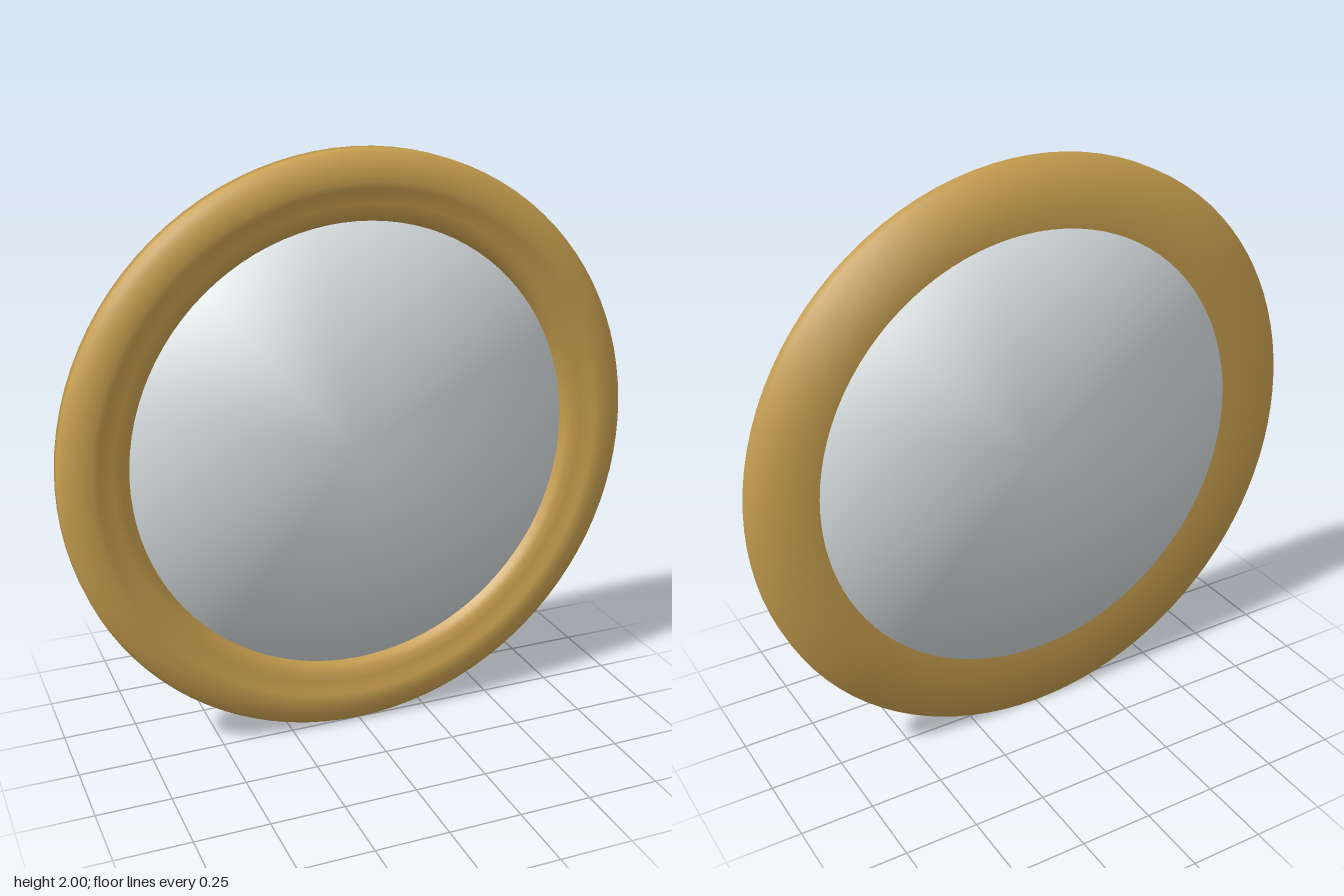
import * as THREE from 'three';

const SEGMENTS = 96;

// Turns a (radius, depth) profile about the z axis, with evenly averaged soft normals.
function turned(name, profile, material) {
  const pts = profile.map(([r, d]) => new THREE.Vector2(r, d));
  const geo = new THREE.LatheGeometry(pts, SEGMENTS);

  const edges = pts.slice(1).map((p, i) => {
    const d = p.clone().sub(pts[i]);
    return new THREE.Vector2(d.y, -d.x).normalize();
  });
  const soft = pts.map((p, i) => {
    const n = new THREE.Vector2();
    if (i > 0) n.add(edges[i - 1]);
    if (i < edges.length) n.add(edges[i]);
    return n.normalize();
  });

  const normal = geo.attributes.normal;
  for (let i = 0; i <= SEGMENTS; i++) {
    const a = (i / SEGMENTS) * Math.PI * 2;
    soft.forEach((n, j) =>
      normal.setXYZ(i * pts.length + j, n.x * Math.sin(a), n.y, n.x * Math.cos(a)));
  }

  geo.rotateX(Math.PI / 2);
  const mesh = new THREE.Mesh(geo, material);
  mesh.name = name;
  return mesh;
}

export function createModel() {
  const gold = new THREE.MeshStandardMaterial({ color: 0xc9a050 });
  gold.name = 'gold';
  const silver = new THREE.MeshStandardMaterial({ color: 0xd4dadc });
  silver.name = 'silver glass';

  const group = new THREE.Group();
  group.name = 'roundMirror';

  // Moulded ring: flat back, rounded outer edge, shallow cove down to the glass
  group.add(turned('frame', [
    [0.77, -0.04], [1, -0.04], [1, 0], [0.985, 0.013], [0.96, 0.028],
    [0.93, 0.037], [0.9, 0.04], [0.88, 0.037], [0.865, 0.03],
    [0.83, 0.025], [0.8, 0.018], [0.78, 0.005], [0.77, -0.015],
  ], gold));

  // Thin glass disc with soft rim shading
  group.add(turned('glass', [
    [0, -0.04], [0.77, -0.04], [0.77, -0.015], [0, -0.015],
  ], silver));

  group.position.y = 1;
  return group;
}
